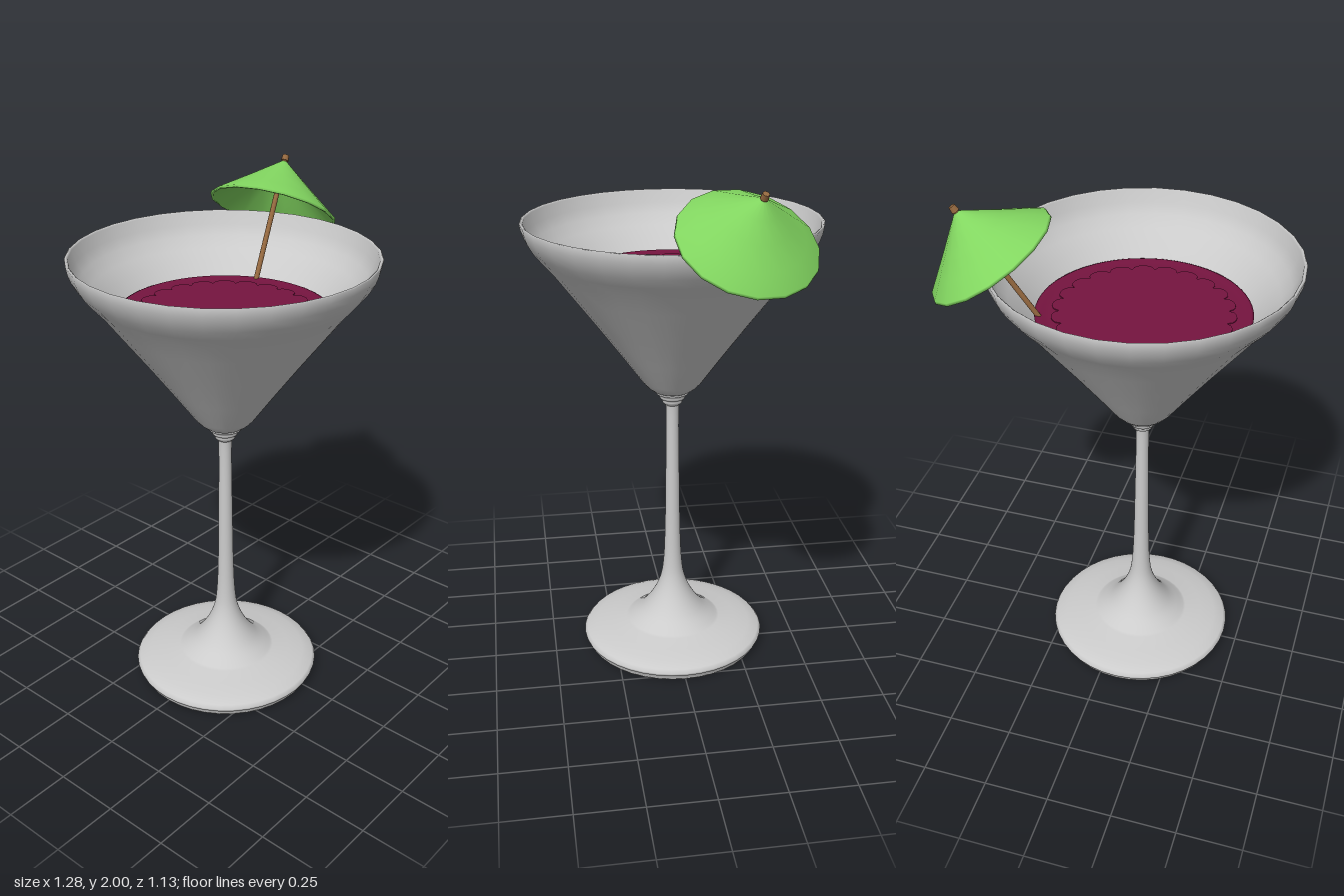
import * as THREE from 'three';

const AXIS_X = -0.075; // the glass stands left of centre, the umbrella hangs right

const material = (color) => new THREE.MeshStandardMaterial({ color, side: THREE.DoubleSide });

function lathe(name, points, sides, mat) {
  const profile = points.map(([r, y]) => new THREE.Vector2(r, y));
  const mesh = new THREE.Mesh(new THREE.LatheGeometry(profile, sides), mat);
  mesh.name = name;
  return mesh;
}

// Smooth run of profile points through a few control points
function smooth(points, count) {
  const curve = new THREE.SplineCurve(points.map(([x, y]) => new THREE.Vector2(x, y)));
  return curve.getPoints(count).map((p) => [p.x, p.y]);
}

export function createModel() {
  const model = new THREE.Group();
  model.name = 'cocktail';
  const glassMat = material(0xcccccc);
  const drinkMat = material(0x75143f);
  const canopyMat = material(0x82d660);
  const woodMat = material(0x94683f);

  const glass = new THREE.Group();
  glass.name = 'glass';
  glass.position.x = AXIS_X;
  model.add(glass);

  // Foot with a rolled edge, flaring up into the slender stem
  glass.add(lathe('footAndStem', [
    [0, 0], [0.355, 0], [0.36, 0.008], [0.36, 0.02], [0.37, 0.026], [0.373, 0.036], [0.362, 0.05],
    [0.32, 0.064], [0.26, 0.077], [0.195, 0.088],
    ...smooth([[0.185, 0.093], [0.13, 0.135], [0.082, 0.2], [0.05, 0.275], [0.037, 0.36],
      [0.031, 0.5], [0.028, 0.7], [0.025, 0.98], [0.028, 1.06]], 28),
  ], 40, glassMat));

  // Stepped collar between stem and bowl
  glass.add(lathe('collar', [
    [0.026, 1.045], [0.038, 1.055], [0.041, 1.065], [0.038, 1.07], [0.049, 1.074],
    [0.052, 1.083], [0.05, 1.088], [0.064, 1.095], [0.066, 1.104], [0.05, 1.11],
  ], 32, glassMat));

  // Thin-walled conical bowl with a softly upturned rim
  glass.add(lathe('bowl', [
    [0, 1.09], [0.05, 1.095], [0.078, 1.11], [0.098, 1.126], [0.118, 1.148], [0.2, 1.262], [0.3, 1.398],
    [0.4, 1.53], [0.46, 1.61], [0.5, 1.655], [0.53, 1.692], [0.55, 1.727], [0.56, 1.755],
    [0.565, 1.782], [0.559, 1.786], [0.552, 1.78], [0.541, 1.735], [0.519, 1.695],
    [0.485, 1.652], [0.445, 1.61], [0.385, 1.53], [0.283, 1.395], [0.183, 1.26], [0.1, 1.15], [0, 1.12],
  ], 32, glassMat));

  // Drink filling the bowl, its surface rising slightly at the wall
  glass.add(lathe('drink', [
    [0, 1.135], [0.09, 1.15], [0.283, 1.41], [0.392, 1.555], [0.394, 1.568], [0.385, 1.572],
    [0.365, 1.568], [0.345, 1.566], [0, 1.566],
  ], 64, drinkMat));

  // Faint scalloped ripple on the drink
  const scallops = 22;
  const outline = [];
  for (let i = 0; i < scallops * 8; i++) {
    const a = (i / (scallops * 8)) * Math.PI * 2;
    const r = 0.305 + 0.03 * Math.sqrt(Math.abs(Math.sin((a * scallops) / 2)));
    outline.push(new THREE.Vector2(r * Math.cos(a), r * Math.sin(a)));
  }
  const ripple = new THREE.Mesh(
    new THREE.ExtrudeGeometry(new THREE.Shape(outline), { depth: 0.004, bevelEnabled: false }), drinkMat);
  ripple.name = 'ripple';
  ripple.rotation.x = -Math.PI / 2;
  ripple.position.y = 1.565;
  glass.add(ripple);

  // Umbrella, built upright with its canopy tip at the origin, then tilted
  const umbrella = new THREE.Group();
  umbrella.name = 'umbrella';
  umbrella.position.set(0.53, 1.972, -0.208);
  umbrella.quaternion.setFromUnitVectors(
    new THREE.Vector3(0, 1, 0), new THREE.Vector3(0.525, 0.84, -0.14).normalize());
  model.add(umbrella);

  umbrella.add(lathe('canopy', [
    [0.004, -0.018], [0.12, -0.111], [0.243, -0.201], [0.253, -0.202], [0.25, -0.192],
    [0.19, -0.146], [0.12, -0.092], [0.06, -0.044], [0.004, 0],
  ], 16, canopyMat));

  // Stick running from the finial down into the drink
  const stick = new THREE.Mesh(new THREE.CylinderGeometry(0.01, 0.01, 0.74, 10), woodMat);
  stick.name = 'stick';
  stick.position.y = -0.355;
  umbrella.add(stick);

  const finial = new THREE.Mesh(new THREE.CylinderGeometry(0.012, 0.015, 0.022, 10), woodMat);
  finial.name = 'finial';
  finial.position.y = 0.011;
  umbrella.add(finial);

  return model;
}
